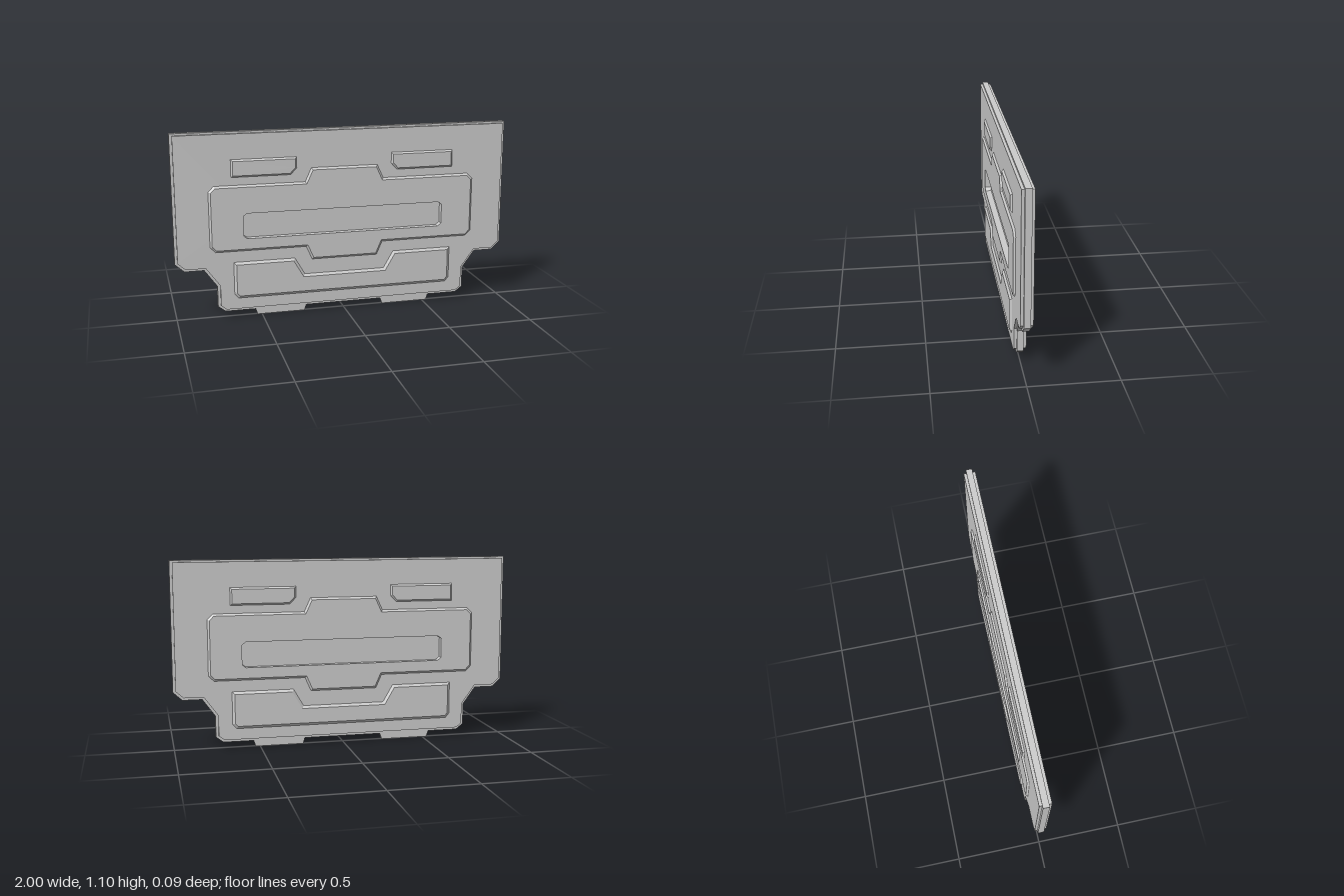
import * as THREE from 'three';
import { mergeGeometries } from 'three/addons/utils/BufferGeometryUtils.js';

const material = new THREE.MeshStandardMaterial({ color: 0xcccccc, flatShading: true });

// Completes a right-hand outline (listed bottom to top) with its mirror image.
const mirrorX = (half) => [...half, ...half.map(([x, y]) => [-x, y]).reverse()];

// Moves every edge of a counter-clockwise outline inwards by d.
function inset(points, d) {
  const n = points.length;
  const normal = (a, b) => {
    const l = Math.hypot(b[0] - a[0], b[1] - a[1]);
    return [-(b[1] - a[1]) / l, (b[0] - a[0]) / l];
  };
  return points.map((p, i) => {
    const u = normal(points[(i + n - 1) % n], p);
    const v = normal(p, points[(i + 1) % n]);
    const k = d / (1 + u[0] * v[0] + u[1] * v[1]);
    return [p[0] + (u[0] + v[0]) * k, p[1] + (u[1] + v[1]) * k];
  });
}

function makeShape(points, hole) {
  const toVectors = (list) => list.map(([x, y]) => new THREE.Vector2(x, y));
  const shape = new THREE.Shape(toVectors(points));
  if (hole) shape.holes.push(new THREE.Path(toVectors(hole)));
  return shape;
}

function mesh(name, geometry) {
  const m = new THREE.Mesh(geometry, material);
  m.name = name;
  return m;
}

// Straight-sided slab between two depths.
function slab(name, points, z0, z1, hole) {
  const g = new THREE.ExtrudeGeometry(makeShape(points, hole), { depth: z1 - z0, bevelEnabled: false });
  return mesh(name, g.translate(0, 0, z0));
}

// Strip of wall between a lower outline and an upper one.
function wall(lower, upper, z0, z1) {
  const pos = [];
  lower.forEach((a, i) => {
    const j = (i + 1) % lower.length;
    const b = lower[j], c = upper[j], d = upper[i];
    pos.push(...a, z0, ...b, z0, ...c, z1, ...a, z0, ...c, z1, ...d, z1);
  });
  const g = new THREE.BufferGeometry();
  g.setAttribute('position', new THREE.Float32BufferAttribute(pos, 3));
  return g;
}

// Raised panel with sloping edges and an optional straight-walled opening.
function raised(name, points, bevel, z0, z1, hole) {
  const upper = inset(points, bevel);
  const cap = new THREE.ShapeGeometry(makeShape(upper, hole)).toNonIndexed().translate(0, 0, z1);
  cap.deleteAttribute('uv');
  cap.deleteAttribute('normal');
  const pieces = [cap, wall(points, upper, z0, z1)];
  if (hole) {
    const inner = [...hole].reverse();
    pieces.push(wall(inner, inner, z0, z1));
  }
  const g = mergeGeometries(pieces);
  g.computeVertexNormals();
  return mesh(name, g);
}

export function createModel() {
  const model = new THREE.Group();
  model.name = 'armourPanel';

  const CORE = 0.018, PLATE = 0.034, TOP = 0.045;
  const outline = (top) => mirrorX([
    [0.717, 0.037], [0.76, 0.07], [0.76, 0.195], [0.834, 0.297],
    [0.947, 0.297], [1, 0.345], [1, top],
  ]);
  const slot = mirrorX([[0.58, 0.478], [0.602, 0.495], [0.602, 0.612], [0.58, 0.628]]);

  // Central sheet with the long slot, closed by a thin floor
  model.add(slab('core', outline(1.1), -CORE, CORE, slot));
  model.add(slab('slotFloor', inset(slot, -0.01), -0.008, 0.008));

  // Bottom tabs
  for (const s of [-1, 1]) {
    const tab = [[-0.142, 0], [0.142, 0], [0.155, 0.04], [-0.155, 0.04]];
    model.add(slab('bottomTab', tab.map(([x, y]) => [x + s * 0.385, y]), -0.01, 0.01));
  }

  // Everything on one face
  const face = new THREE.Group();
  face.name = 'frontFace';
  face.add(slab('coverPlate', inset(outline(1.105), 0.016), CORE, PLATE, slot));

  const centre = mirrorX([
    [0.198, 0.324], [0.233, 0.404], [0.765, 0.404], [0.797, 0.436],
    [0.797, 0.762], [0.765, 0.794], [0.235, 0.794], [0.198, 0.875],
  ]);
  face.add(raised('centrePanel', centre, 0.012, PLATE, TOP, slot));

  const lower = mirrorX([
    [0.64, 0.118], [0.663, 0.145], [0.663, 0.338], [0.302, 0.338], [0.243, 0.236],
  ]);
  face.add(raised('lowerPanel', lower, 0.015, PLATE, TOP));

  // Small upper blocks, one inner corner cut
  const block = [[0.32, 0.84], [0.665, 0.84], [0.665, 0.943], [0.284, 0.943], [0.284, 0.878]];
  const mirrored = block.map(([x, y]) => [-x, y]).reverse();
  face.add(raised('leftUpperBlock', block, 0.01, PLATE, TOP));
  face.add(raised('rightUpperBlock', mirrored, 0.01, PLATE, TOP));
  model.add(face);

  // The back repeats the front
  const back = face.clone();
  back.name = 'backFace';
  back.rotation.y = Math.PI;
  model.add(back);

  return model;
}
